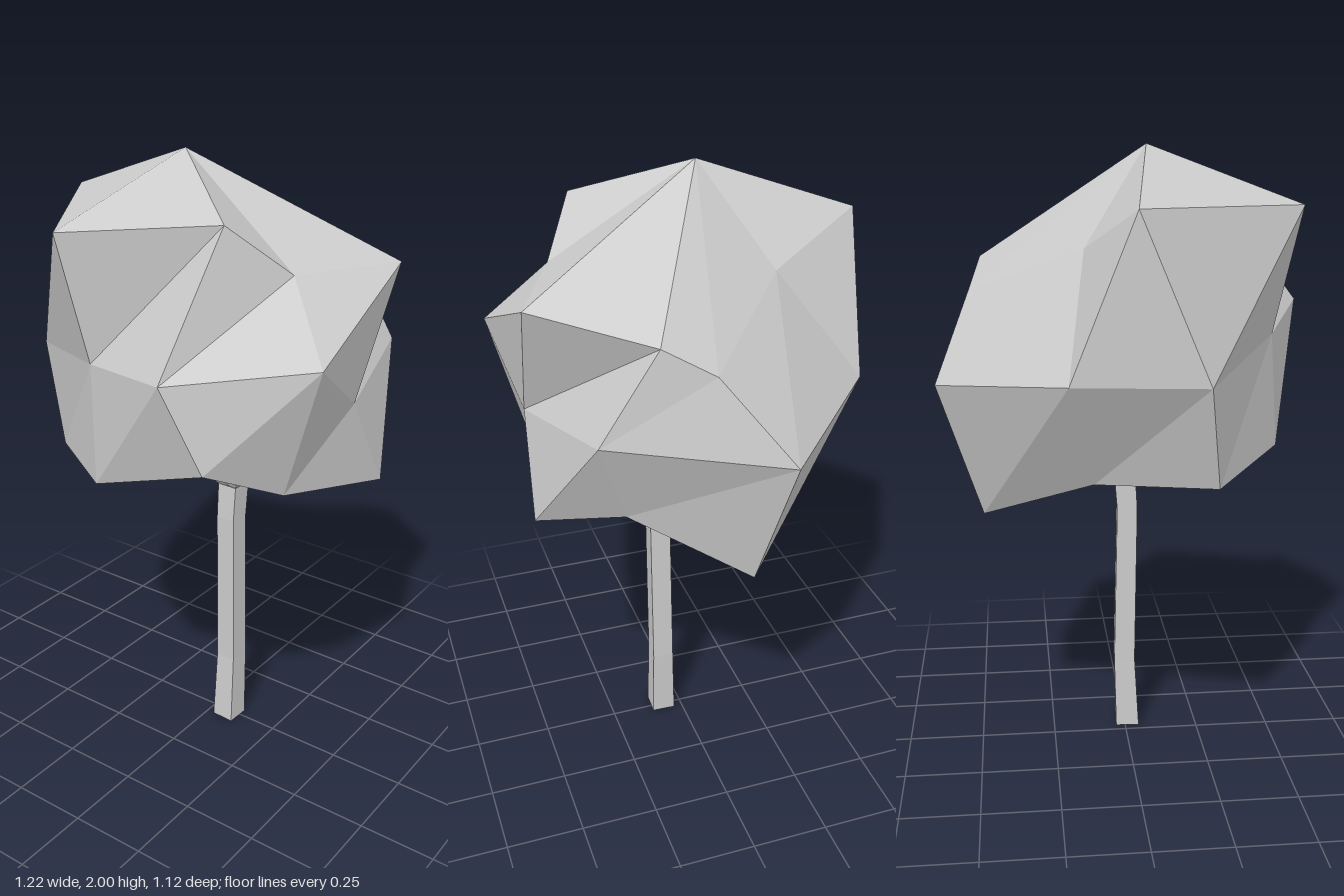
import * as THREE from 'three';

// Flat-shaded skin over closed rings listed from top to bottom, each running
// anticlockwise seen from above. A ring of one point closes the end.
function loft(rings) {
  const pos = [];
  const tri = (...pts) => pts.forEach((p) => pos.push(...p));
  for (let r = 0; r < rings.length - 1; r++) {
    const up = rings[r], low = rings[r + 1];
    const n = Math.max(up.length, low.length);
    for (let i = 0; i < n; i++) {
      const j = (i + 1) % n;
      if (up.length === 1) tri(up[0], low[i], low[j]);
      else if (low.length === 1) tri(up[i], low[0], up[j]);
      else {
        tri(up[i], low[i], up[j]);
        tri(up[j], low[i], low[j]);
      }
    }
  }
  const geometry = new THREE.BufferGeometry();
  geometry.setAttribute('position', new THREE.Float32BufferAttribute(pos, 3));
  geometry.computeVertexNormals();
  return geometry;
}

// Four-sided horizontal section
function square(x, y, z, radius) {
  return [0, 1, 2, 3].map((k) => {
    const a = 0.74 + (k * Math.PI) / 2;
    return [x + Math.cos(a) * radius, y, z - Math.sin(a) * radius];
  });
}

export function createModel() {
  const group = new THREE.Group();
  const material = new THREE.MeshStandardMaterial({ color: 0xcccccc, flatShading: true });
  const add = (name, geometry) => {
    const mesh = new THREE.Mesh(geometry, material);
    mesh.name = name;
    group.add(mesh);
  };

  // Crown: a lumpy eight-sided ball, three rings between two poles
  add('crown', loft([
    [[-0.055, 2, -0.07]],
    [[0.02, 1.83, -0.56], [-0.53, 1.82, -0.175], [-0.32, 1.86, 0.26], [-0.14, 1.7, 0.375],
      [0.21, 1.69, 0.53], [0.465, 1.64, 0.21], [0.5, 1.55, 0.055], [0.15, 1.7, -0.255]],
    [[-0.19, 1.335, -0.56], [-0.45, 1.42, -0.13], [-0.61, 1.48, 0.25], [-0.275, 1.49, 0.56],
      [0.01, 1.295, 0.505], [0.455, 1.36, 0.39], [0.607, 1.28, -0.155], [0.213, 1.34, -0.53]],
    [[-0.235, 1.01, -0.455], [-0.48, 1.05, -0.1], [-0.546, 1.22, 0.35], [-0.285, 1.09, 0.45],
      [0.17, 0.99, 0.525], [0.355, 1.065, 0.286], [0.47, 0.84, -0.085], [0.13, 1.0, -0.335]],
    [[0.08, 1.03, 0.08]],
  ]));

  // Trunk: slightly bent square post
  add('trunk', loft([
    [[0, 0.96, 0.075]],
    square(-0.002, 0.92, 0.075, 0.05),
    square(-0.01, 0.8, 0.073, 0.048),
    square(0, 0.25, 0.07, 0.05),
    square(-0.01, 0, 0.068, 0.056),
    [[-0.01, 0, 0.068]],
  ]));

  // Branches: thin tapering forks spreading under the crown
  const tips = [[-0.12, 1.04, -0.04], [0.21, 1.02, 0.1], [-0.12, 1.06, 0.17]];
  tips.forEach(([x, y, z], i) => add(`branch${i + 1}`, loft([
    [[x, y + 0.01, z]],
    square(x, y, z, 0.012),
    square(x * 0.15, 0.93, 0.075 + (z - 0.075) * 0.15, 0.04),
    [[0, 0.88, 0.075]],
  ])));

  return group;
}
